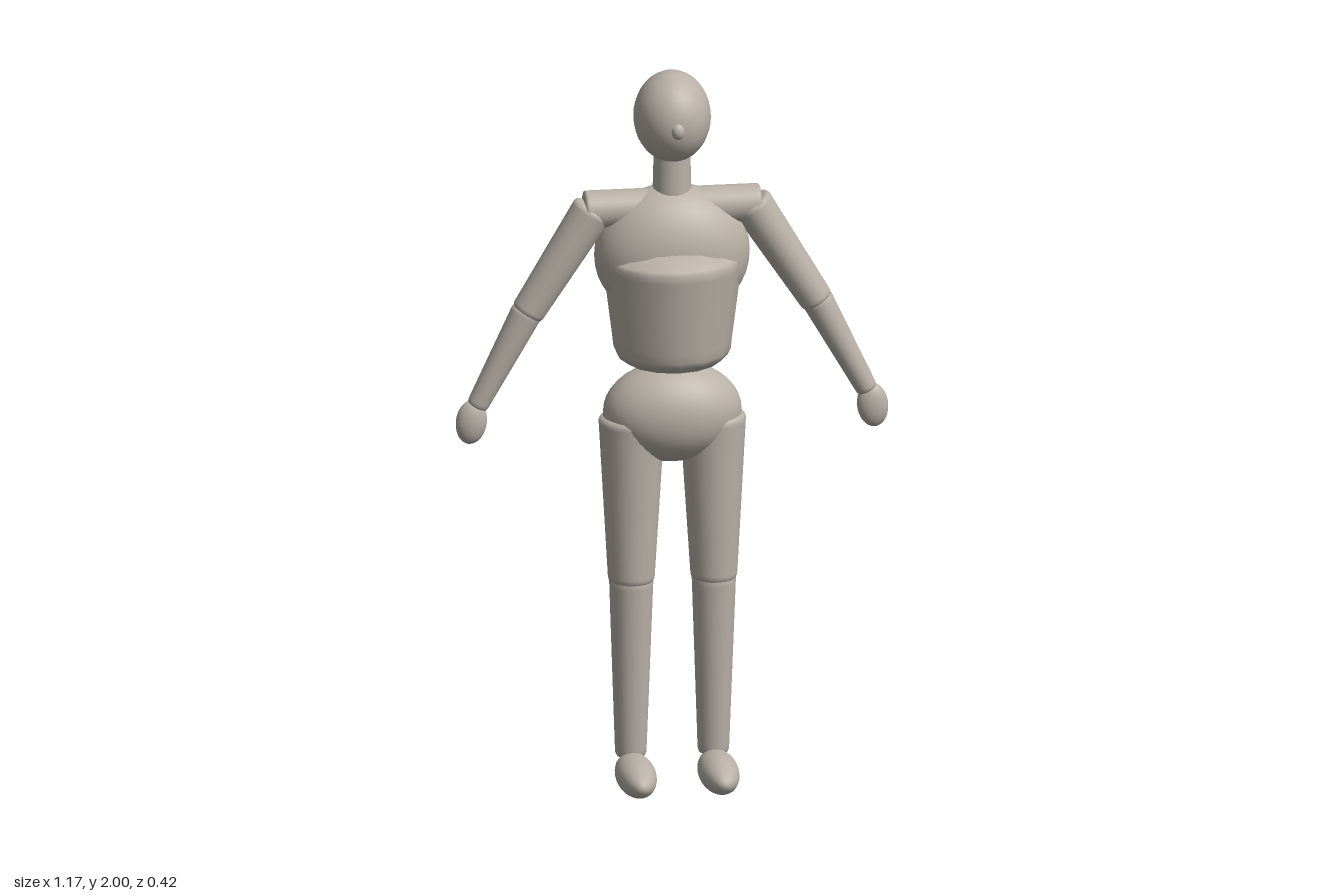
import * as THREE from 'three';

const Z = -0.02; // depth of the body axis

export function createModel() {
  const root = new THREE.Group();
  root.name = 'mannequin';
  const clay = new THREE.MeshStandardMaterial({ color: 0xb9b1a7 });
  clay.name = 'warm grey clay';

  const add = (name, geometry) => {
    const mesh = new THREE.Mesh(geometry, clay);
    mesh.name = name;
    root.add(mesh);
    return mesh;
  };

  // Ellipsoid from centre and three radii
  const ball = (name, centre, radii) => {
    const mesh = add(name, new THREE.SphereGeometry(1, 32, 20));
    mesh.position.set(...centre);
    mesh.scale.set(...radii);
    return mesh;
  };

  const lathe = (points, sides) =>
    new THREE.LatheGeometry(points.map(([r, y]) => new THREE.Vector2(r, y)), sides);

  // Tapered limb with softly rounded ends, running from point a down to point b
  const limb = (name, a, b, ra, rb, bevel = 0.012) => {
    const start = new THREE.Vector3(...a);
    const end = new THREE.Vector3(...b);
    const h = start.distanceTo(end) / 2;
    const k = bevel;
    const mesh = add(name, lathe([
      [0, -h], [rb - k, -h], [rb - k * 0.3, -h + k * 0.3], [rb, -h + k],
      [rb + (ra - rb) * 0.05, -h + h * 0.1],
      [ra - (ra - rb) * 0.05, h - h * 0.1],
      [ra, h - k], [ra - k * 0.3, h - k * 0.3], [ra - k, h], [0, h],
    ], 28));
    mesh.position.copy(start).add(end).multiplyScalar(0.5);
    mesh.quaternion.setFromUnitVectors(new THREE.Vector3(0, 1, 0), start.sub(end).normalize());
    return mesh;
  };

  // Head and neck
  ball('head', [0, 1.875, -0.018], [0.104, 0.125, 0.118]);
  ball('nose', [0, 1.866, 0.09], [0.019, 0.024, 0.02]);
  limb('neck', [0, 1.79, Z], [0, 1.64, Z], 0.049, 0.053, 0.004);

  // Torso: round chest above a fourteen-sided barrel, then the pelvis
  ball('chest', [0, 1.49, -0.022], [0.211, 0.192, 0.132]);
  const barrel = add('abdomen', lathe([
    [0, 1.166], [0.07, 1.172], [0.125, 1.187], [0.15, 1.206], [0.158, 1.222],
    [0.161, 1.25], [0.187, 1.455], [0.189, 1.478], [0.18, 1.487],
    [0.132, 1.52], [0, 1.54],
  ], 14));
  barrel.position.z = Z;
  ball('pelvis', [0, 1.045, -0.016], [0.188, 0.138, 0.122]);

  // Arms and legs, mirrored
  for (const [side, s] of [['left', 1], ['right', -1]]) {
    limb(side + 'Shoulder', [s * 0.05, 1.62, Z], [s * 0.238, 1.62, Z], 0.052, 0.052, 0.006);
    limb(side + 'UpperArm', [s * 0.212, 1.625, Z], [s * 0.396, 1.332, Z], 0.056, 0.045);
    limb(side + 'Forearm', [s * 0.392, 1.342, Z], [s * 0.53, 1.078, Z], 0.043, 0.029, 0.008);
    const hand = ball(side + 'Hand', [s * 0.544, 1.036, Z], [0.042, 0.062, 0.027]);
    hand.rotation.z = s * 0.12;

    limb(side + 'Thigh', [s * 0.11, 1.036, -0.016], [s * 0.112, 0.565, -0.01], 0.09, 0.062, 0.015);
    limb(side + 'Shin', [s * 0.112, 0.585, -0.01], [s * 0.112, 0.075, Z], 0.06, 0.042);
    ball(side + 'Foot', [s * 0.112, 0.05, 0.077], [0.054, 0.05, 0.134]);
  }

  return root;
}
